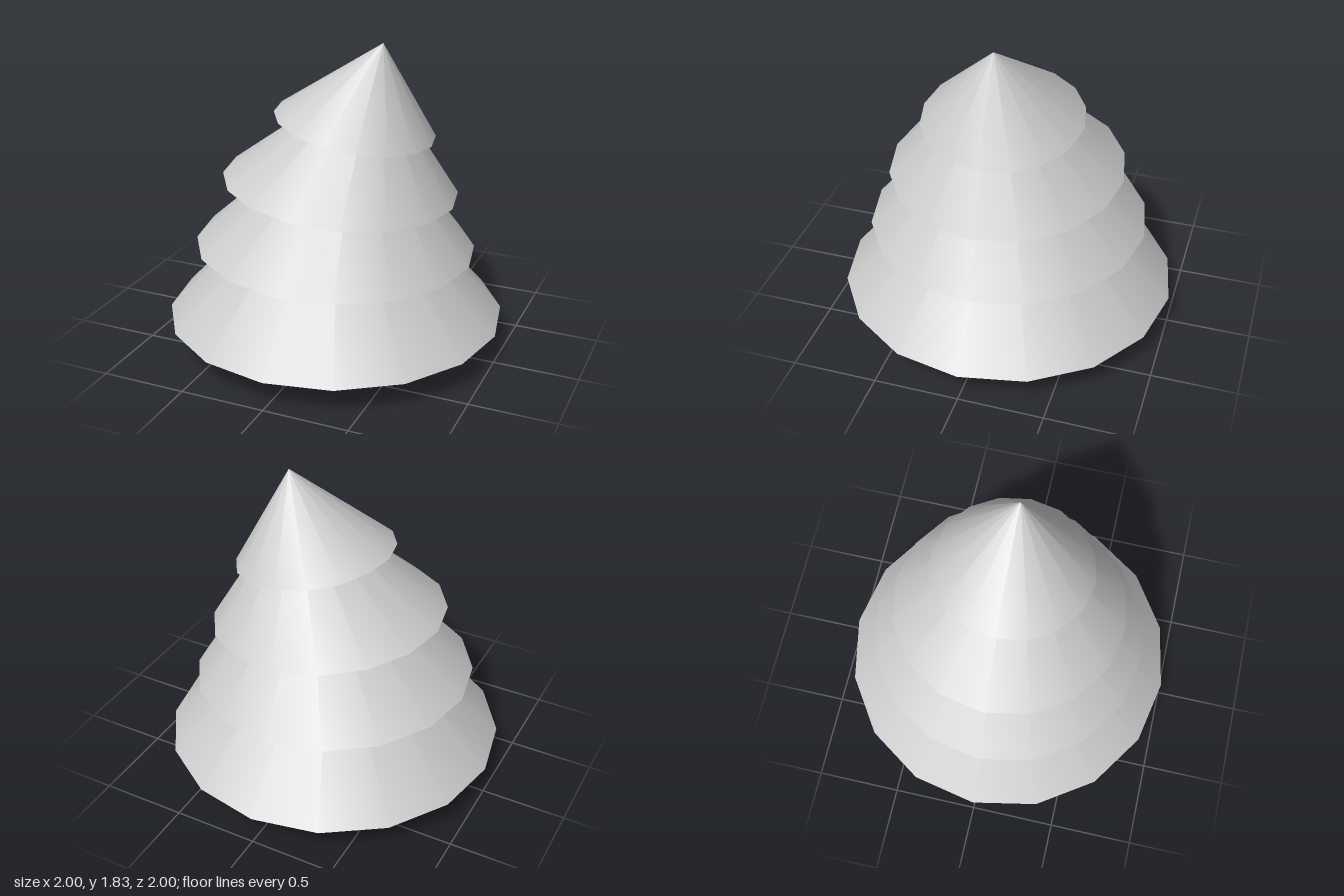
import * as THREE from 'three';

const SIDES = 16;

// Each tier: base centre, radius, droop of the base towards +x, and tip position.
const TIERS = [
  { name: 'bottomBranches', base: [0, 0.17], radius: 1, tilt: 0, tip: [0.02, 1.24] },
  { name: 'lowerBranches', base: [0, 0.597], radius: 0.825, tilt: -0.033, tip: [0.146, 1.49] },
  { name: 'upperBranches', base: [0.032, 0.978], radius: 0.687, tilt: -0.092, tip: [0.245, 1.695] },
  { name: 'topBranches', base: [0.12, 1.347], radius: 0.467, tilt: -0.168, tip: [0.285, 1.83] },
];

export function createModel() {
  const tree = new THREE.Group();
  tree.name = 'leaningTree';
  const material = new THREE.MeshStandardMaterial({ color: 0xcccccc, side: THREE.DoubleSide });

  // Hollow trunk, running up inside the lowest tier
  const trunkHeight = 1;
  const trunk = new THREE.Mesh(
    new THREE.CylinderGeometry(0.175, 0.175, trunkHeight, SIDES, 1, true).translate(0, trunkHeight / 2, 0),
    material
  );
  trunk.name = 'trunk';
  tree.add(trunk);

  // Open cones, tilted and sheared so the crown leans to one side
  for (const { name, base, radius, tilt, tip } of TIERS) {
    const shear = new THREE.Matrix4().makeBasis(
      new THREE.Vector3(Math.cos(tilt) * radius, Math.sin(tilt) * radius, 0),
      new THREE.Vector3(tip[0] - base[0], tip[1] - base[1], 0),
      new THREE.Vector3(0, 0, radius)
    ).setPosition(base[0], base[1], 0);
    const cone = new THREE.ConeGeometry(1, 1, SIDES, 1, true).translate(0, 0.5, 0).applyMatrix4(shear);
    const tier = new THREE.Mesh(cone, material);
    tier.name = name;
    tree.add(tier);
  }
  return tree;
}
